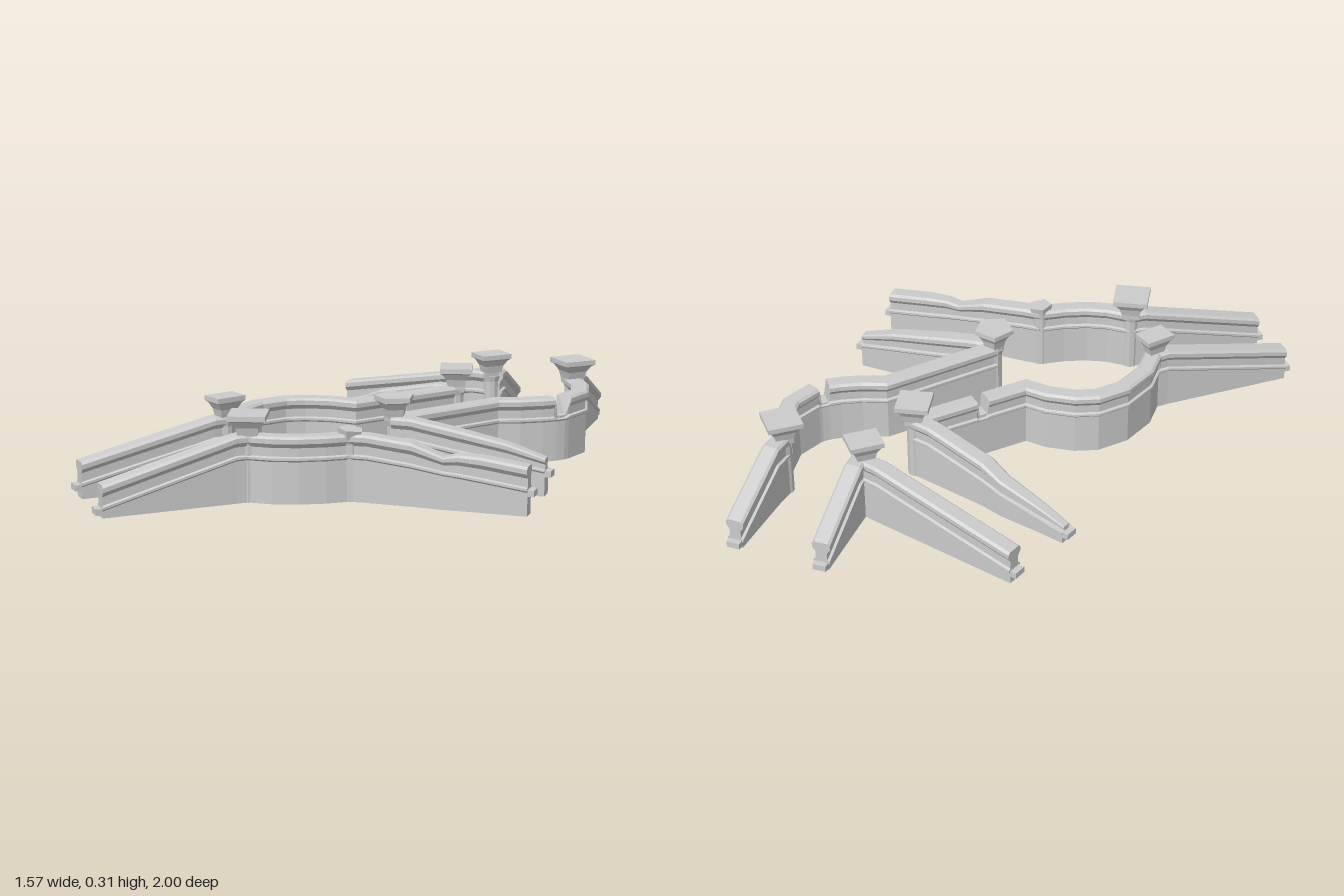
import * as THREE from 'three';

const mat = new THREE.MeshStandardMaterial({ color: 0xcccccc, flatShading: true, side: THREE.DoubleSide });

// Half cross-section above the ledge: [half width, height above ledge]
const RAIL = [[0.03, 0], [0.03, 0.008], [0.021, 0.012], [0.021, 0.042], [0.033, 0.058], [0.033, 0.074], [0.024, 0.082]];
const RAIL_H = 0.082;
const H = 0.236;

// Sweeps the wall section along stations [x, z, top height, rail left (0..1), rail width (0..1)]
function wallGeometry(path) {
  const rings = path.map(([x, z, top = H, keep = 1, width = 1], i) => {
    const a = path[Math.max(i - 1, 0)], b = path[Math.min(i + 1, path.length - 1)];
    const p = path[i];
    const d1 = new THREE.Vector2(p[0] - a[0], p[1] - a[1]).normalize();
    const d2 = new THREE.Vector2(b[0] - p[0], b[1] - p[1]).normalize();
    const t = d1.clone().add(d2).normalize();
    const mitre = 1 / Math.max(0.6, Math.max(t.dot(d1), t.dot(d2)));
    const ledge = top - RAIL_H;
    const half = [[0.024, 0], [0.024, ledge - 0.006], ...RAIL.map(([w, y], k) => [k < 2 ? w : w * width, ledge + y * keep])];
    const at = ([w, y], s) => [x - t.y * w * s * mitre, y, z + t.x * w * s * mitre];
    return { right: half.map(h => at(h, 1)), left: half.map(h => at(h, -1)) };
  });
  const pos = [];
  const quad = (a, b, c, d) => pos.push(...a, ...b, ...c, ...a, ...c, ...d);
  const loop = r => [...r.right, ...r.left.slice().reverse()];
  for (let i = 0; i < rings.length - 1; i++) {
    const a = loop(rings[i]), b = loop(rings[i + 1]);
    a.forEach((_, j) => {
      const k = (j + 1) % a.length;
      quad(a[j], b[j], b[k], a[k]);
    });
  }
  // end faces
  const first = rings[0], last = rings[rings.length - 1];
  for (let k = 0; k < first.right.length - 1; k++) {
    quad(last.right[k], last.left[k], last.left[k + 1], last.right[k + 1]);
    quad(first.left[k], first.right[k], first.right[k + 1], first.left[k + 1]);
  }
  const g = new THREE.BufferGeometry();
  g.setAttribute('position', new THREE.Float32BufferAttribute(pos, 3));
  g.computeVertexNormals();
  return g;
}

function mesh(name, geometry, parent) {
  const m = new THREE.Mesh(geometry, mat);
  m.name = name;
  parent.add(m);
  return m;
}

// Sloping wall with a small ledge stub past its low end
function addRamp(parent, path) {
  const group = new THREE.Group();
  group.name = 'rampWall';
  mesh('rampParapet', wallGeometry(path), group);
  const e = path[path.length - 1], p = path[path.length - 2];
  const angle = Math.atan2(e[0] - p[0], e[1] - p[1]);
  const stub = mesh('ledgeStub', new THREE.BoxGeometry(0.048, 0.022, 0.03), group);
  stub.position.set(e[0] + Math.sin(angle) * 0.008, e[2] - RAIL_H - 0.008, e[1] + Math.cos(angle) * 0.008);
  stub.rotation.y = angle;
  parent.add(group);
}

// Square capital made of stacked rings [half size, height]
function capitalGeometry(sx, sz, sides) {
  const profile = [[0, 0.215], [0.5, 0.215], [0.52, 0.235], [0.62, 0.262], [0.84, 0.284], [1, 0.29], [1, 0.308], [0, 0.308]];
  const g = new THREE.LatheGeometry(profile.map(([r, y]) => new THREE.Vector2(r * Math.SQRT1_2, y)), sides, Math.PI / 4);
  g.scale(sx, 1, sz);
  return g;
}

function addPillar(parent, { x, z, sx, sz = sx, turn, sides = 4 }) {
  const group = new THREE.Group();
  group.name = 'pillar';
  group.position.set(x, 0, z);
  group.rotation.y = turn;
  mesh('column', new THREE.CylinderGeometry(0.029, 0.029, 0.205, 10), group).position.y = 0.1025;
  mesh('columnCollar', new THREE.CylinderGeometry(0.036, 0.031, 0.02, 10), group).position.y = 0.212;
  mesh('capital', capitalGeometry(sx, sz, sides), group);
  parent.add(group);
}

export function createModel() {
  const model = new THREE.Group();
  model.name = 'ruinedParapets';

  // Level curved walls; low keep values are the cracks
  const levelWalls = [
    [[-0.365, 0.385], [-0.375, 0.27], [-0.34, 0.14], [-0.27, 0.05], [-0.2, 0.015], [-0.1, -0.002], [-0.01, 0.008],
      [0.095, -0.122], [0.1, -0.128, H, 0.3, 0.8], [0.118, -0.15, H, 0.3, 0.8], [0.123, -0.156], [0.255, -0.32]],
    [[-0.19, 0.62], [-0.1, 0.617], [-0.02, 0.595], [0.06, 0.555], [0.13, 0.505]],
    [[0.2, 0.2], [0.47, -0.165], [0.55, -0.195], [0.62, -0.235], [0.655, -0.262], [0.662, -0.268, H, 0.2, 0.8],
      [0.682, -0.29, H, 0.2, 0.8], [0.69, -0.305], [0.725, -0.41], [0.7, -0.53], [0.65, -0.62]],
  ];
  levelWalls.forEach(path => mesh('levelParapet', wallGeometry(path), model));

  // Ramps, from the pillar down to the low end
  const ramps = [
    [[-0.365, 0.385], [-0.4, 0.425], [-0.755, 0.765, 0.13]],
    [[-0.19, 0.62], [-0.23, 0.652], [-0.585, 0.965, 0.112]],
    [[0.65, -0.62], [0.655, -0.7], [0.655, -0.978, 0.11]],
    [[0.345, -0.62], [0.342, -0.69], [0.328, -0.975, 0.11]],
    [[0.33, -0.63], [0.26, -0.647], [-0.295, -0.78, 0.13]],
    // worn ramps
    [[0.26, -0.345], [0.19, -0.362], [-0.04, -0.42, 0.185], [-0.12, -0.45, 0.17, 0.75, 0.9],
      [-0.27, -0.483, 0.142, 0.5, 0.7], [-0.375, -0.51, 0.125, 0.25, 0.5]],
    [[0.13, 0.505], [0.2, 0.5], [0.36, 0.5, 0.22], [0.47, 0.505, 0.205, 0.7, 0.75], [0.52, 0.503, 0.2, 0.9, 0.85],
      [0.6, 0.5, 0.19], [0.76, 0.5, 0.17]],
    [[0.2, 0.22], [0.27, 0.222], [0.42, 0.226, 0.212], [0.62, 0.23, 0.187, 0.85, 0.85], [0.755, 0.233, 0.17, 0.55, 0.65]],
  ];
  ramps.forEach(path => addRamp(model, path));

  // Pillars with flared capitals
  [
    { x: -0.365, z: 0.39, sx: 0.085, sz: 0.115, turn: -0.6 },
    { x: -0.19, z: 0.62, sx: 0.13, turn: 0.25 },
    { x: 0.27, z: -0.345, sx: 0.12, turn: 0.25 },
    { x: 0.33, z: -0.625, sx: 0.12, sz: 0.1, turn: 0.75 },
    { x: 0.65, z: -0.62, sx: 0.125, turn: 0.75 },
    { x: 0.2, z: 0.205, sx: 0.105, turn: 0.3, sides: 5 },
  ].forEach(p => addPillar(model, p));

  // Broken pillar without its capital
  const stump = new THREE.Group();
  stump.name = 'brokenPillar';
  stump.position.set(0.135, 0, 0.505);
  mesh('column', new THREE.CylinderGeometry(0.029, 0.029, 0.205, 10), stump).position.y = 0.1025;
  const top = mesh('brokenTop', new THREE.CylinderGeometry(0.046, 0.034, 0.05, 5), stump);
  top.position.y = 0.226;
  top.rotation.z = -0.12;
  model.add(stump);

  return model;
}
